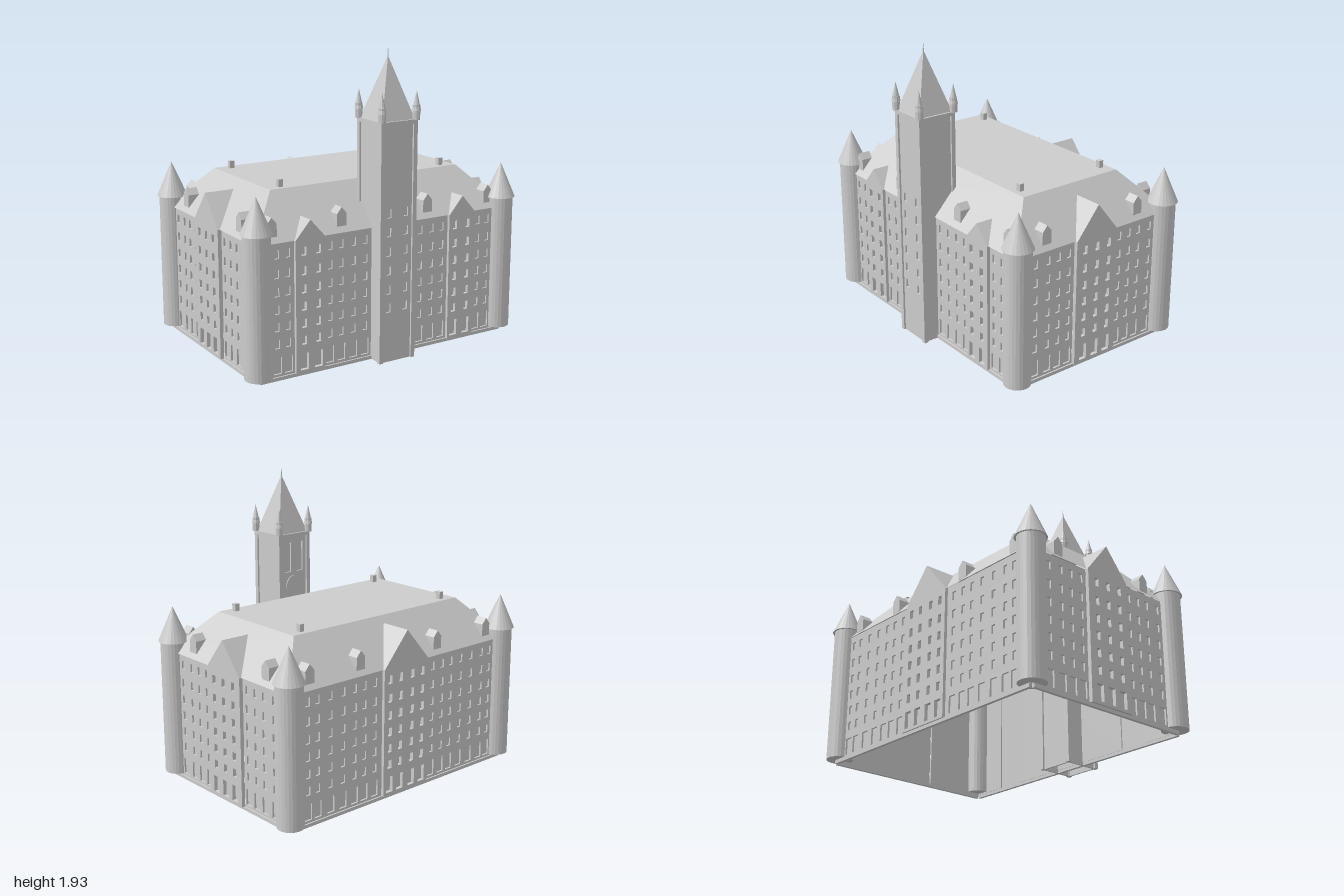
import * as THREE from 'three';

const stone = new THREE.MeshStandardMaterial({ color: 0xcccccc, side: THREE.DoubleSide, flatShading: true });
stone.name = 'greyStone';

const Z0 = -0.0325; // middle of the main block
const EAVE = 0.85;
const ROWS = [0.78, 0.66, 0.548, 0.44, 0.332, 0.225];

function add(parent, name, geometry, x = 0, y = 0, z = 0) {
  const mesh = new THREE.Mesh(geometry, stone);
  mesh.name = name;
  mesh.position.set(x, y, z);
  parent.add(mesh);
  return mesh;
}

const box = (w, h, d) => new THREE.BoxGeometry(w, h, d);
const polygon = (pts) => new THREE.Shape(pts.map(([x, y]) => new THREE.Vector2(x, y)));
const rect = (x0, x1, y0, y1) => polygon([[x0, y0], [x1, y0], [x1, y1], [x0, y1]]);
const extrude = (shape, depth) => new THREE.ExtrudeGeometry(shape, { depth, bevelEnabled: false });

// Wall with sunken windows; its outer face lies at z = out
function panel(parent, name, x0, x1, y0, y1, out, windows, depth = 0.012) {
  const shape = rect(x0, x1, y0, y1);
  for (const [x, y, w, h] of windows) {
    shape.holes.push(rect(x - w / 2, x + w / 2, y - h / 2, y + h / 2));
  }
  add(parent, name, extrude(shape, depth), 0, 0, out - depth);
  add(parent, name + 'WindowPanes', new THREE.PlaneGeometry(x1 - x0, y1 - y0),
    (x0 + x1) / 2, (y0 + y1) / 2, out - depth);
}

// Six small windows above one large ground floor window per column
function windowGrid(columns) {
  return columns.flatMap((x) => [
    ...ROWS.map((y) => [x, y, 0.032, 0.054]),
    [x, 0.09, 0.056, 0.105],
  ]);
}

// One side of the building, facing local +z
function facade(parent, name, angle, o) {
  const side = new THREE.Group();
  side.name = name;
  side.position.z = Z0;
  side.rotation.y = angle;
  parent.add(side);

  // Plain wall sections between the projecting gabled bays
  let start = -o.half;
  for (const bay of [...o.bays, null]) {
    const end = bay ? bay.x - bay.half : o.half;
    panel(side, 'wall', start, end, 0.02, EAVE, o.out,
      windowGrid(o.columns.filter((x) => x > start && x < end)));
    if (!bay) break;
    const right = bay.x + bay.half;
    panel(side, 'bayWall', end, right, 0.02, EAVE, o.bayOut,
      windowGrid(o.columns.filter((x) => x > end && x < right)), 0.024);
    const gable = polygon([[end, EAVE], [right, EAVE], [bay.x, bay.peak]]);
    add(side, 'gable', extrude(gable, bay.ridge), 0, 0, o.bayOut - bay.ridge);
    start = right;
  }

  // Foot rail below the wall
  add(side, 'plinth', box(o.half * 2, 0.022, 0.02), 0, 0.011, o.out);

  // Small roof dormers
  const dormer = polygon([[-0.034, 0.88], [0.034, 0.88], [0.034, 0.96], [0, 1.0], [-0.034, 0.96]]);
  for (const x of o.dormers) {
    add(side, 'dormer', extrude(dormer, 0.075), x, 0, o.dormerOut - 0.075);
  }
}

// Hipped roof with a flat top, lofted between two rectangles
function hipRoof() {
  const ring = (w, d, y) => [[-w, y, d], [w, y, d], [w, y, -d], [-w, y, -d]];
  const points = [...ring(0.93, 0.6125, EAVE), ...ring(0.695, 0.3725, 1.11)];
  const index = [4, 5, 6, 4, 6, 7];
  for (let i = 0; i < 4; i++) {
    const j = (i + 1) % 4;
    index.push(i, j, j + 4, i, j + 4, i + 4);
  }
  const g = new THREE.BufferGeometry();
  g.setAttribute('position', new THREE.Float32BufferAttribute(points.flat(), 3));
  g.setIndex(index);
  const flat = g.toNonIndexed();
  flat.computeVertexNormals();
  return flat;
}

// Round tower with a pointed cap
function turret(parent, x, z) {
  const g = new THREE.Group();
  g.name = 'cornerTurret';
  g.position.set(x, 0, z);
  parent.add(g);
  add(g, 'turretShaft', new THREE.CylinderGeometry(0.085, 0.085, 0.89, 24), 0, 0.475, 0);
  add(g, 'turretCap', new THREE.ConeGeometry(0.098, 0.225, 24), 0, 1.0275, 0);
}

function clockTower(parent) {
  const g = new THREE.Group();
  g.name = 'tower';
  g.position.z = 0.555;
  parent.add(g);

  // Four recessed faces
  const frontWindows = [0.95, 0.832, 0.71, 0.59, 0.467, 0.35]
    .flatMap((y) => [-0.062, 0.062].map((x) => [x, y, 0.032, 0.056]));
  const backWindows = [[-0.05, 1.35, 0.055, 0.2], [0.05, 1.35, 0.055, 0.2]];
  [frontWindows, [], backWindows, []].forEach((windows, i) => {
    const face = new THREE.Group();
    face.name = 'towerFace';
    face.rotation.y = i * Math.PI / 2;
    g.add(face);
    panel(face, 'towerWall', -0.118, 0.118, 0, 1.5, 0.12, windows);
    if (i === 2) {
      const dial = add(face, 'clockDial', new THREE.CylinderGeometry(0.065, 0.065, 0.008, 24), 0, 1.16, 0.122);
      dial.rotation.x = Math.PI / 2;
    }
  });

  // Corner piers with pinnacles
  for (const x of [-1, 1]) {
    for (const z of [-1, 1]) {
      add(g, 'towerPier', box(0.028, 1.5, 0.028), x * 0.118, 0.75, z * 0.118);
      add(g, 'pinnacleShaft', new THREE.CylinderGeometry(0.024, 0.024, 0.09, 10), x * 0.125, 1.555, z * 0.125);
      add(g, 'pinnacleCap', new THREE.ConeGeometry(0.029, 0.125, 10), x * 0.125, 1.6275, z * 0.125);
    }
  }
  add(g, 'towerCornice', box(0.264, 0.025, 0.264), 0, 1.5, 0);

  // Square spire and finial
  const spire = new THREE.ConeGeometry(0.12 * Math.SQRT2, 0.38, 4);
  spire.rotateY(Math.PI / 4);
  add(g, 'spire', spire, 0, 1.7, 0);
  add(g, 'finial', new THREE.CylinderGeometry(0.002, 0.005, 0.06, 6), 0, 1.9, 0);
}

export function createModel() {
  const model = new THREE.Group();
  model.name = 'building';

  const mirror = (list) => [...list.map((v) => -v), ...list];
  const long = [0.165, 0.25, 0.337, 0.417, 0.51, 0.61, 0.71, 0.785];

  facade(model, 'frontSide', 0, {
    half: 0.91, out: 0.603, bayOut: 0.623, dormerOut: 0.5825,
    columns: mirror(long), dormers: [-0.803, -0.322, 0.318, 0.803],
    bays: [-0.565, 0.565].map((x) => ({ x, half: 0.102, peak: 0.965, ridge: 0.125 })),
  });
  facade(model, 'backSide', Math.PI, {
    half: 0.91, out: 0.603, bayOut: 0.623, dormerOut: 0.5875,
    columns: mirror([0.05, 0.14, ...long.slice(1)]), dormers: [-0.755, -0.355, 0.305, 0.765],
    bays: [{ x: 0, half: 0.19, peak: 1.07, ridge: 0.205 }],
  });
  for (const s of [-1, 1]) {
    facade(model, s > 0 ? 'leftSide' : 'rightSide', s * Math.PI / 2, {
      half: 0.59, out: 0.92, bayOut: 0.945, dormerOut: 0.905,
      columns: [0, ...mirror([0.095, 0.205, 0.285, 0.365, 0.46])], dormers: [-0.365, 0.365],
      bays: [{ x: 0, half: 0.163, peak: 1.05, ridge: 0.2 }],
    });
  }

  add(model, 'roof', hipRoof(), 0, 0, Z0);

  for (const x of [-1, 1]) {
    for (const z of [-1, 1]) {
      turret(model, x * 0.905, Z0 + z * 0.5825);
      add(model, 'chimney', box(0.032, 0.06, 0.032), x * 0.6, 1.127, Z0 + z * 0.32);
    }
  }

  clockTower(model);
  return model;
}
